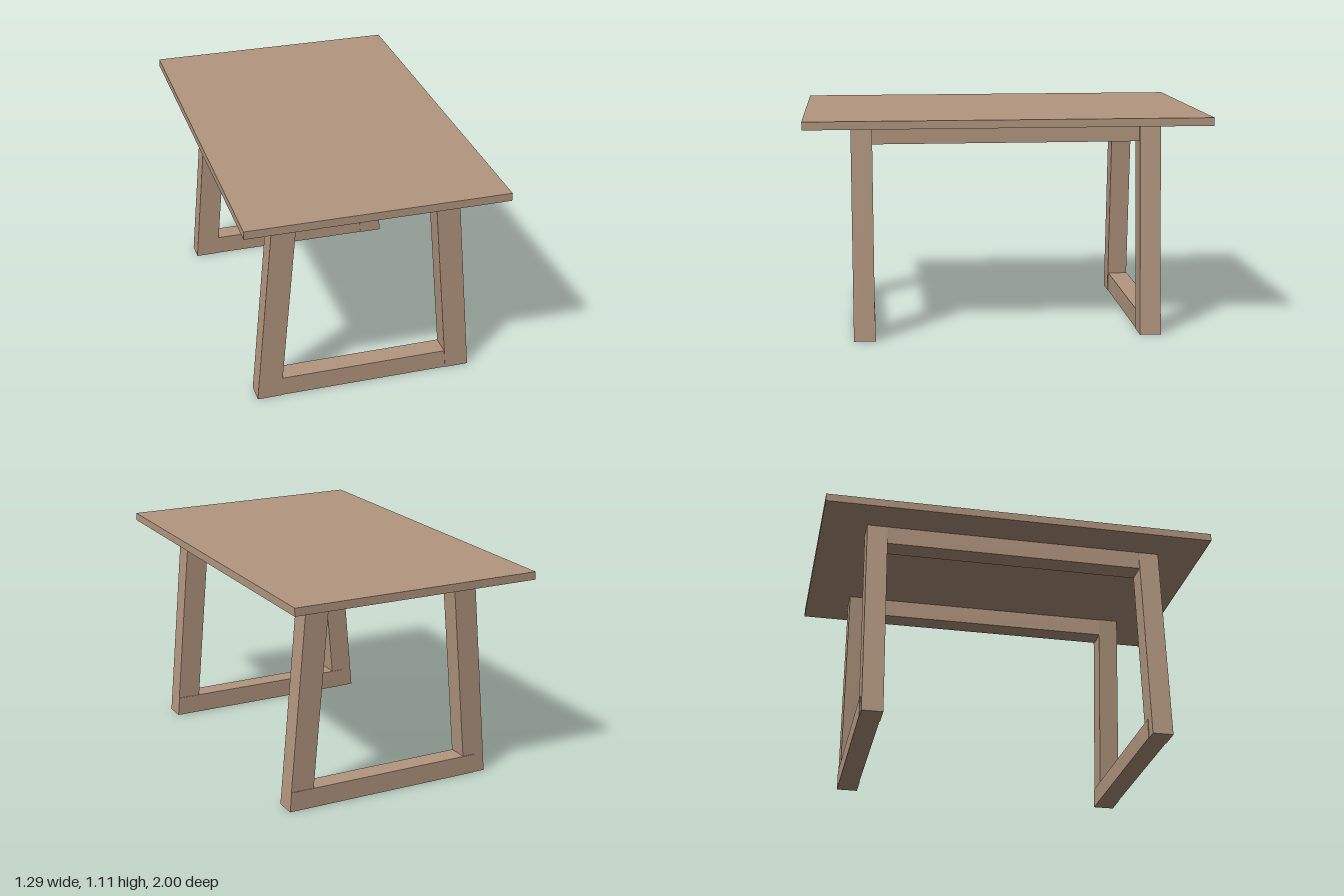
import * as THREE from 'three';

export function createModel() {
  const model = new THREE.Group();
  const wood = new THREE.MeshStandardMaterial({ color: 0xb39780, flatShading: true });

  const add = (name, geometry) => {
    const mesh = new THREE.Mesh(geometry, wood);
    mesh.name = name;
    model.add(mesh);
  };
  // Box given by its two extreme corners
  const box = (x0, x1, y0, y1, z0, z1) =>
    new THREE.BoxGeometry(x1 - x0, y1 - y0, z1 - z0)
      .translate((x0 + x1) / 2, (y0 + y1) / 2, (z0 + z1) / 2);
  // Upright profile extruded along z
  const slab = (points, z0, z1) =>
    new THREE.ExtrudeGeometry(
      new THREE.Shape(points.map(([x, y]) => new THREE.Vector2(x, y))),
      { depth: z1 - z0, bevelEnabled: false }
    ).translate(0, 0, z0);

  const top = 1.065, cx = 0.01, inner = 0.665, outer = 0.77;

  add('tableTop', box(-0.645, 0.645, top, 1.105, -1, 1));

  // Two end frames: splayed legs joined by a floor stretcher
  for (const [end, z0, z1] of [['front', inner, outer], ['back', -outer, -inner]]) {
    for (const [side, s] of [['Left', 1], ['Right', -1]]) {
      const leg = [[0.435, 0], [0.555, 0], [0.46, top], [0.34, top]];
      add(end + side + 'Leg', slab(leg.map(([x, y]) => [cx + s * x, y]), z0, z1));
    }
    // The stretcher sits a hair behind the legs and overlaps them
    add(end + 'Stretcher',
      slab([[-0.48, 0], [0.565, 0], [0.556, 0.1], [-0.48, 0.1]], z0 - 0.003, z1 - 0.003));
  }

  // Rails under the top joining the frames
  add('leftRail', box(0.354, 0.462, 0.97, top, -inner, inner));
  add('rightRail', box(-0.45, -0.34, 0.97, top, -inner, inner));

  return model;
}
